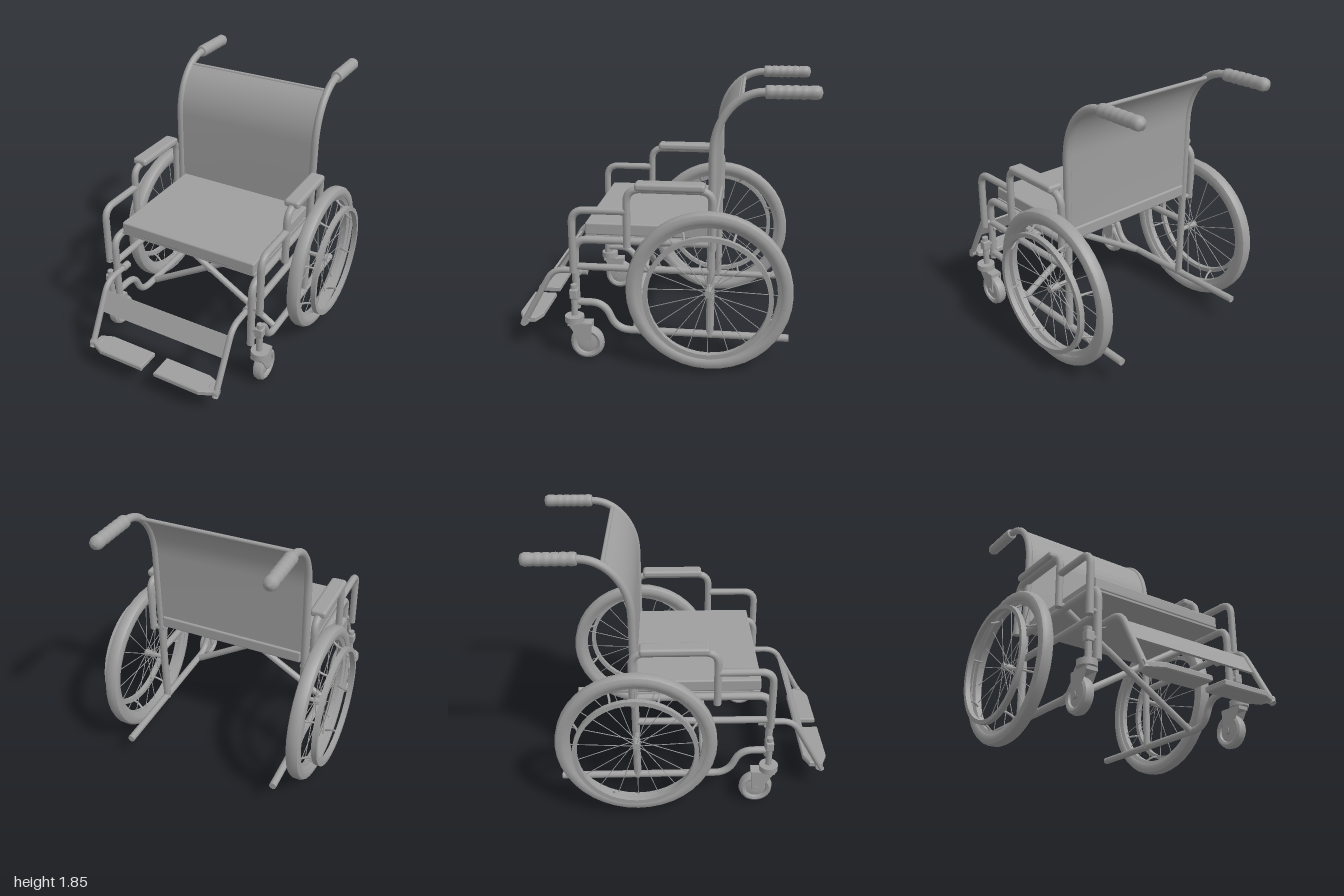
import * as THREE from 'three';
import { mergeGeometries, toCreasedNormals } from 'three/addons/utils/BufferGeometryUtils.js';
import { RoundedBoxGeometry } from 'three/addons/geometries/RoundedBoxGeometry.js';

const GREY = 0x9e9e9e;
const mat = new THREE.MeshStandardMaterial({ color: GREY });
const sheetMat = new THREE.MeshStandardMaterial({ color: GREY, side: THREE.DoubleSide });
const V = (x, y, z) => new THREE.Vector3(x, y, z);

function add(parent, name, geo, x = 0, y = 0, z = 0, material = mat) {
  const m = new THREE.Mesh(geo, material);
  m.name = name;
  m.position.set(x, y, z);
  parent.add(m);
  return m;
}

// Capped tube through corner points, each corner rounded by the bend radius
function pipe(points, r = 0.025, bend = 0.08, sides = 12) {
  const path = new THREE.CurvePath();
  let from = points[0];
  for (let i = 1; i < points.length; i++) {
    const p = points[i], next = points[i + 1];
    if (!next) { path.add(new THREE.LineCurve3(from, p)); break; }
    const reach = Math.min(bend, p.distanceTo(points[i - 1]) * 0.48, p.distanceTo(next) * 0.48);
    const a = p.clone().add(points[i - 1].clone().sub(p).setLength(reach));
    const b = p.clone().add(next.clone().sub(p).setLength(reach));
    path.add(new THREE.LineCurve3(from, a));
    path.add(new THREE.QuadraticBezierCurve3(a, p, b));
    from = b;
  }
  const steps = points.length > 2 ? Math.max(8, Math.ceil(path.getLength() / 0.02)) : 1;
  const parts = [new THREE.TubeGeometry(path, steps, r, sides)];
  for (const end of [0, 1]) {
    const dir = path.getTangentAt(end).multiplyScalar(end ? 1 : -1);
    const cap = new THREE.CircleGeometry(r, sides);
    cap.applyQuaternion(new THREE.Quaternion().setFromUnitVectors(V(0, 0, 1), dir));
    const p = path.getPointAt(end);
    parts.push(cap.translate(p.x, p.y, p.z));
  }
  return mergeGeometries(parts);
}

// Ring or disc about the x axis from a (radius, x) profile
const spin = (profile, segs) => toCreasedNormals(
  new THREE.LatheGeometry(profile.map(([r, x]) => new THREE.Vector2(r, x)), segs).rotateZ(-Math.PI / 2), 0.6);
const axleX = (r, len, segs = 20) => new THREE.CylinderGeometry(r, r, len, segs).rotateZ(Math.PI / 2);

// Rear post line: straight up, then a quarter bend backwards
const bendAt = (a) => [1.42 + 0.385 * Math.sin(a), -0.35 - 0.31 * (1 - Math.cos(a))];

function rearWheel(s) {
  const g = new THREE.Group();
  g.name = 'rearWheel';
  g.position.set(s * 0.661, 0.54, -0.345);
  add(g, 'tyre', spin([[0.465, -0.038], [0.48, -0.047], [0.505, -0.047], [0.526, -0.038], [0.536, -0.02], [0.536, 0.02],
    [0.526, 0.038], [0.505, 0.047], [0.48, 0.047], [0.465, 0.038], [0.465, -0.038]], 40));
  add(g, 'rim', spin([[0.438, -0.02], [0.47, -0.034], [0.47, 0.034], [0.438, 0.02], [0.438, -0.02]], 40));
  add(g, 'handRim', spin([[0.382, -0.018], [0.411, -0.018], [0.411, 0.018], [0.382, 0.018], [0.382, -0.018]], 40), s * 0.107);
  add(g, 'hub', axleX(0.024, 0.08));
  add(g, 'axle', axleX(0.016, 0.13), -s * 0.06);
  const spokes = [], pegs = [];
  for (let i = 0; i < 20; i++) {
    const a = i / 20 * Math.PI * 2, c = Math.cos(a), n = Math.sin(a), side = i % 2 ? 0.03 : -0.03;
    spokes.push(pipe([V(side, 0.02 * n, 0.02 * c), V(0, 0.445 * n, 0.445 * c)], 0.003, 0, 5));
  }
  for (let i = 0; i < 8; i++) {
    const a = (i + 0.5) / 8 * Math.PI * 2, c = Math.cos(a), n = Math.sin(a);
    pegs.push(pipe([[0, 0.445], [0.05, 0.405], [0.1, 0.395]].map(([x, r]) => V(s * x, r * n, r * c)), 0.008, 0.03, 6));
  }
  add(g, 'spokes', mergeGeometries(spokes));
  add(g, 'handRimPegs', mergeGeometries(pegs));
  return g;
}

function caster(s) {
  const g = new THREE.Group();
  g.name = 'caster';
  g.position.x = s * 0.605;
  add(g, 'casterWheel', spin([[0.001, -0.024], [0.04, -0.024], [0.07, -0.018], [0.075, -0.032], [0.092, -0.038], [0.108, -0.028], [0.116, 0],
    [0.108, 0.028], [0.092, 0.038], [0.075, 0.032], [0.07, 0.018], [0.04, 0.024], [0.001, 0.024]], 28), 0, 0.117, 0.467);
  add(g, 'casterAxle', axleX(0.022, 0.092), 0, 0.117, 0.467);
  // Fork: two tapered plates under a crown
  const plate = new THREE.Shape([[-0.595, 0.26], [-0.43, 0.26], [-0.437, 0.11], [-0.46, 0.09], [-0.49, 0.1]]
    .map(([z, y]) => new THREE.Vector2(z, y)));
  for (const x of [-0.036, 0.036]) {
    const geo = new THREE.ExtrudeGeometry(plate, { depth: 0.01, bevelEnabled: false });
    add(g, 'forkPlate', geo.translate(0, 0, -0.005).rotateY(Math.PI / 2), x);
  }
  add(g, 'forkCrown', new THREE.BoxGeometry(0.08, 0.025, 0.163), 0, 0.251, 0.512);
  add(g, 'casterCollar', new THREE.CylinderGeometry(0.064, 0.064, 0.042, 24), s * 0.008, 0.287, 0.55);
  add(g, 'casterStem', new THREE.CylinderGeometry(0.022, 0.022, 0.25, 12), 0, 0.4, 0.55);
  add(g, 'stemClamp', new RoundedBoxGeometry(0.06, 0.07, 0.055, 2, 0.01), 0, 0.462, 0.55);
  add(g, 'clampLink', axleX(0.018, 0.07, 10), -s * 0.035, 0.462, 0.55);
  return g;
}

function armrest(s) {
  const g = new THREE.Group(), x = s * 0.6;
  g.name = 'armrest';
  add(g, 'frontArmTube', pipe([V(x, 0.61, 0.55), V(x, 1.04, 0.55), V(x, 1.04, 0.19)], 0.025, 0.09));
  add(g, 'upperArmTube', pipe([V(x, 0.8, 0.19), V(x, 1.19, 0.19), V(x, 1.19, -0.36), V(x, 0.8, -0.36)], 0.025, 0.09));
  add(g, 'armPad', new RoundedBoxGeometry(0.108, 0.052, 0.445, 3, 0.02), s * 0.597, 1.213, -0.088);
  for (const [y, z] of [[0.64, 0.55], [0.82, 0.19], [0.82, -0.36]])
    add(g, 'armSocket', axleX(0.018, 0.06, 10), s * 0.57, y, z);
  return g;
}

function footrest(s) {
  const g = new THREE.Group(), x = s * 0.494;
  g.name = 'footrest';
  add(g, 'hanger', pipe([V(x, 0.58, 0.49), V(x, 0.58, 0.72), V(x, 0.16, 0.95)], 0.021, 0.08));
  add(g, 'hangerSocket', new THREE.CylinderGeometry(0.027, 0.027, 0.06, 14).rotateX(Math.PI / 2), x, 0.58, 0.51);
  add(g, 'hangerLink', axleX(0.018, 0.05, 10), s * 0.52, 0.58, 0.53);
  // Plate narrows towards its hinge
  const outline = [[0.055, -0.99], [0.39, -0.99], [0.475, -0.95], [0.475, -0.87], [0.39, -0.835], [0.055, -0.835]];
  if (s < 0) outline.reverse();
  const shape = new THREE.Shape(outline.map(([px, pz]) => new THREE.Vector2(s * px, pz)));
  const plate = new THREE.ExtrudeGeometry(shape, { depth: 0.026, bevelSize: 0.006, bevelThickness: 0.007, bevelSegments: 1 });
  add(g, 'footplate', plate.rotateX(-Math.PI / 2), 0, 0.177, 0);
  add(g, 'footplateHinge', axleX(0.028, 0.05, 14), s * 0.485, 0.19, 0.93);
  add(g, 'footplateLug', new RoundedBoxGeometry(0.05, 0.045, 0.06, 2, 0.01), s * 0.455, 0.19, 0.91);
  return g;
}

function sideFrame(s) {
  const g = new THREE.Group(), x = s * 0.54;
  g.name = 'sideFrame';
  const post = [V(x, 0.17, -0.35)];
  for (let i = 0; i <= 10; i++) {
    const [y, z] = bendAt(i / 10 * Math.PI / 2);
    post.push(V(x, y, z));
  }
  post.push(V(x, 1.805, -0.72));
  add(g, 'backPost', pipe(post, 0.026, 0.03));
  // Ribbed push handle
  const grip = [[0.001, 0], [0.034, 0], [0.041, 0.006]];
  for (let i = 0; i < 5; i++) grip.push([0.043, 0.02 + i * 0.05], [0.043, 0.04 + i * 0.05], [0.039, 0.055 + i * 0.05]);
  grip.push([0.043, 0.28], [0.043, 0.31], [0.034, 0.332], [0.001, 0.342]);
  add(g, 'handleGrip', new THREE.LatheGeometry(grip.map(([r, h]) => new THREE.Vector2(r, h)), 18).rotateX(-Math.PI / 2), x, 1.805, -0.658);
  add(g, 'seatRail', pipe([V(x, 0.82, -0.37), V(x, 0.82, 0.55), V(x, 0.33, 0.55)], 0.026, 0.09));
  add(g, 'middleRail', pipe([V(x, 0.63, -0.35), V(x, 0.63, 0.55)], 0.024));
  add(g, 'lowerRail', pipe([V(x, 0.375, 0.55), V(x, 0.375, 0.36), V(x, 0.185, 0.28), V(x, 0.185, -0.87)], 0.025, 0.12));
  return g;
}

export function createModel() {
  const model = new THREE.Group();
  model.name = 'wheelchair';
  for (const s of [1, -1])
    model.add(sideFrame(s), rearWheel(s), caster(s), armrest(s), footrest(s));

  // Folding cross brace under the seat
  for (const s of [1, -1]) {
    const z = 0.13 + s * 0.02;
    add(model, 'crossBrace', pipe([V(-s * 0.52, 0.82, z), V(s * 0.52, 0.19, z)], 0.024));
  }
  add(model, 'bracePivot', new THREE.CylinderGeometry(0.015, 0.015, 0.09, 12).rotateX(Math.PI / 2), 0, 0.505, 0.13);

  add(model, 'seatCushion', new RoundedBoxGeometry(1.03, 0.085, 0.86, 2, 0.012), 0, 0.885, 0.055);
  add(model, 'seatSling', new THREE.BoxGeometry(1.04, 0.014, 0.82), 0, 0.837, 0.07);

  // Back sling follows the bend of the posts
  const top = 1.06;
  const line = [[0.855, -0.35]];
  for (let i = 0; i <= 8; i++) line.push(bendAt(i / 8 * top));
  const outline = [...line.map(([y, z]) => [z + 0.012, y]), ...line.reverse().map(([y, z]) => [z - 0.012, y])];
  const sling = new THREE.ExtrudeGeometry(new THREE.Shape(outline.map(([z, y]) => new THREE.Vector2(-z, y))),
    { depth: 1.05, bevelEnabled: false });
  add(model, 'backSling', toCreasedNormals(sling.translate(0, 0, -0.525).rotateY(Math.PI / 2), 0.6), 0, 0, 0, sheetMat);
  const [hemY, hemZ] = bendAt(top);
  add(model, 'backHem', axleX(0.013, 1.05, 12), 0, hemY, hemZ - 0.008);

  // Calf strap between the hangers
  const strap = add(model, 'calfStrap', new THREE.BoxGeometry(0.97, 0.15, 0.014), 0, 0.457, 0.785);
  strap.rotation.x = -0.5;
  return model;
}
